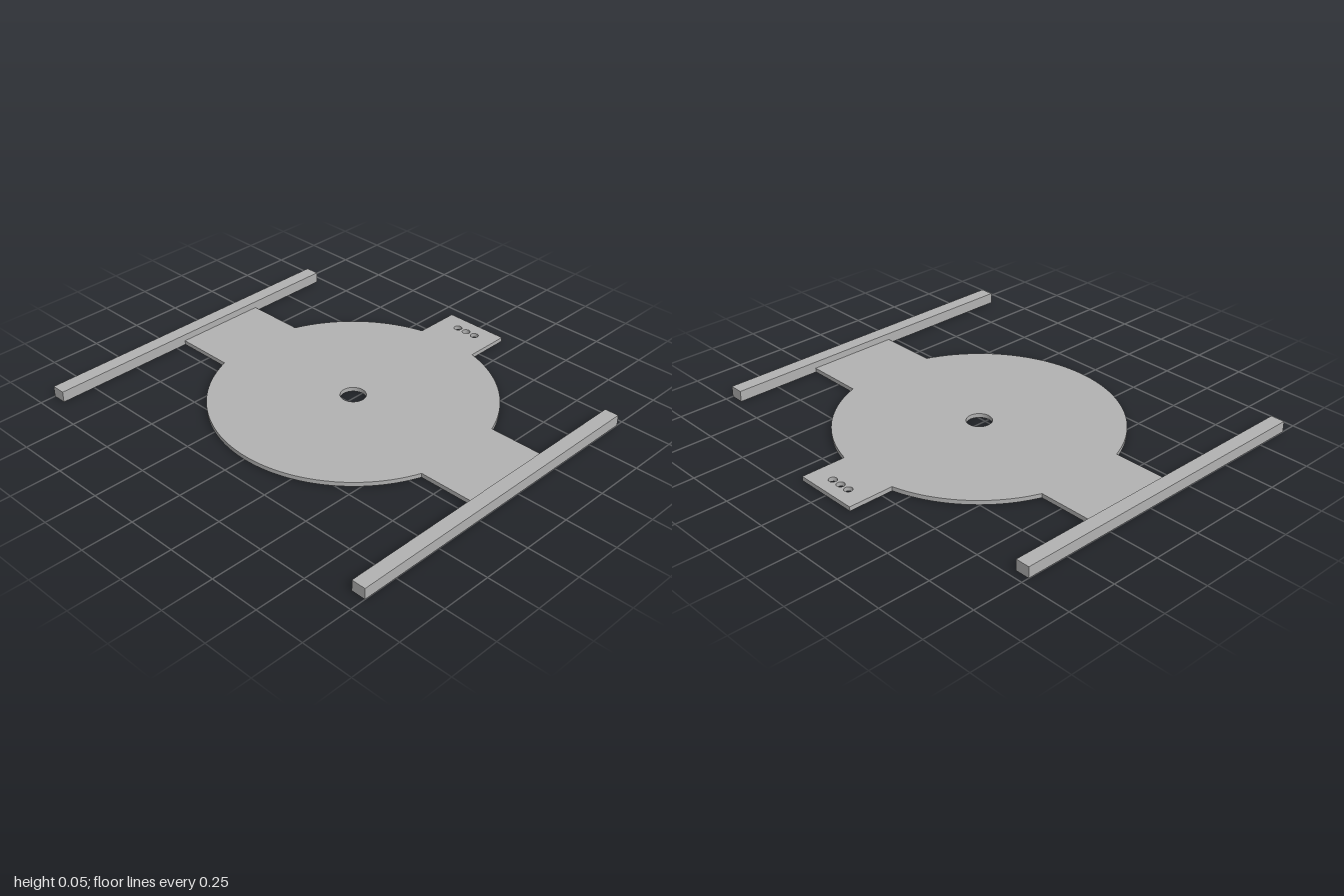
import * as THREE from 'three';

export function createModel() {
  const model = new THREE.Group();
  const grey = new THREE.MeshStandardMaterial({ color: 0xb2b2b2 });
  grey.name = 'grey';

  const R = 0.677, CY = 0.037;          // disc radius and centre (shape y = -z)
  const armHalf = 0.234, armEnd = 0.93; // side arms
  const tabHalf = 0.163, tabEnd = 0.922; // rear tab
  const plateHeight = 0.021, railHeight = 0.054;

  // Base plate: disc, two side arms and the rear tab in one outline
  const armAngle = Math.asin(armHalf / R);
  const tabAngle = Math.acos(tabHalf / R);
  const outline = new THREE.Shape();
  outline.moveTo(armEnd, CY - armHalf);
  outline.lineTo(armEnd, CY + armHalf);
  outline.absarc(0, CY, R, armAngle, tabAngle, false);
  outline.lineTo(tabHalf, tabEnd);
  outline.lineTo(-tabHalf, tabEnd);
  outline.absarc(0, CY, R, Math.PI - tabAngle, Math.PI - armAngle, false);
  outline.lineTo(-armEnd, CY + armHalf);
  outline.lineTo(-armEnd, CY - armHalf);
  outline.absarc(0, CY, R, Math.PI + armAngle, 2 * Math.PI - armAngle, false);
  outline.closePath();

  // Centre hole and three small holes in the tab
  const addHole = (x, y, r) =>
    outline.holes.push(new THREE.Path().absarc(x, y, r, 0, Math.PI * 2, true));
  addHole(0, CY, 0.061);
  for (const x of [-0.053, 0, 0.053]) addHole(x, 0.842, 0.02);

  const plateGeometry = new THREE.ExtrudeGeometry(outline, {
    depth: plateHeight, bevelEnabled: false, curveSegments: 48,
  });
  plateGeometry.rotateX(-Math.PI / 2);
  const plate = new THREE.Mesh(plateGeometry, grey);
  plate.name = 'basePlate';
  model.add(plate);

  // Side rails
  const railBack = -0.712, railFront = 0.922;
  for (const side of [1, -1]) {
    const rail = new THREE.Mesh(
      new THREE.BoxGeometry(1 - armEnd, railHeight, railFront - railBack), grey);
    rail.position.set(side * (1 + armEnd) / 2, railHeight / 2, (railFront + railBack) / 2);
    rail.name = side > 0 ? 'leftRail' : 'rightRail';
    model.add(rail);
  }

  return model;
}
